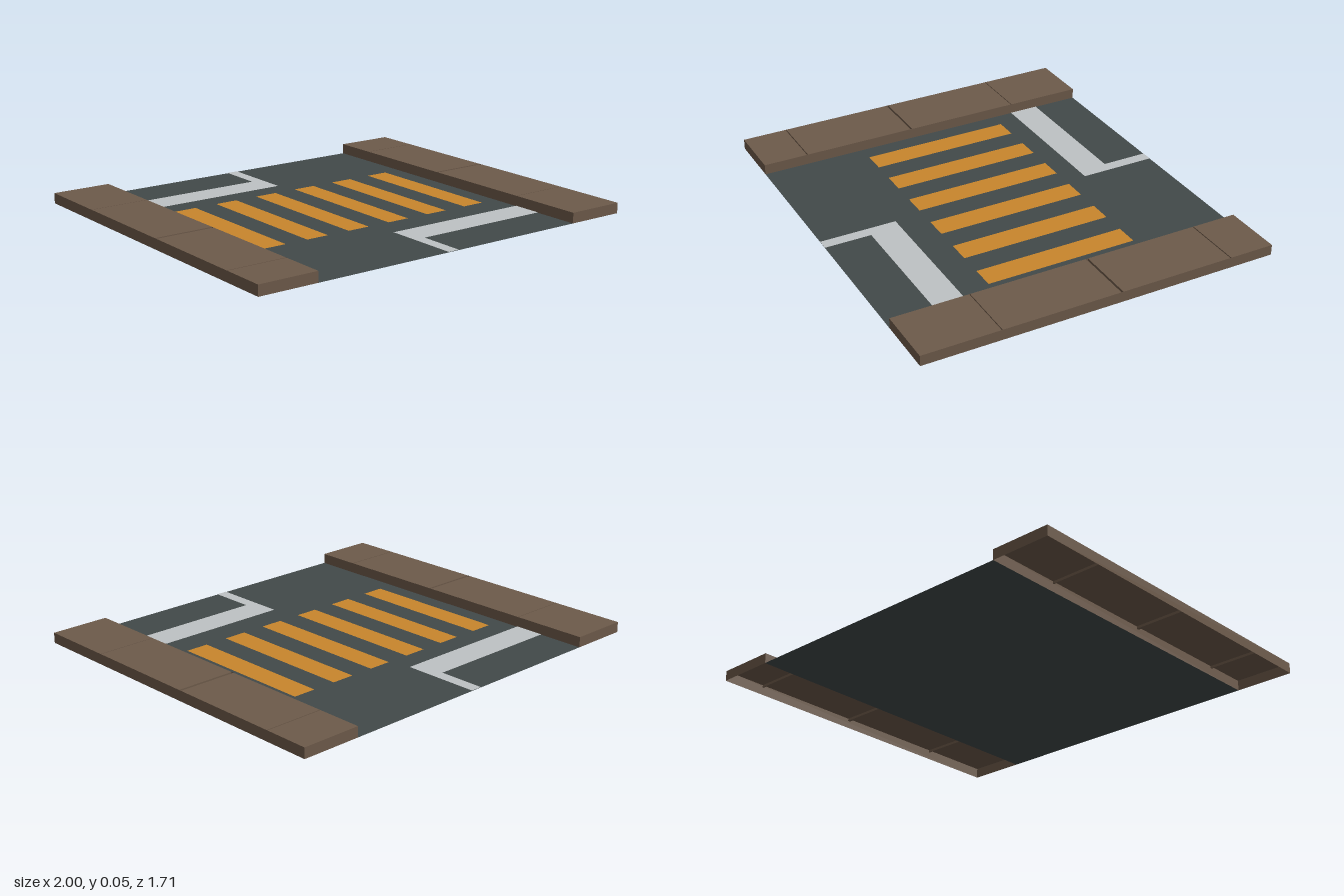
import * as THREE from 'three';

const HALF_Z = 0.857, CURB_X = 0.712, CURB_H = 0.05, GROOVE = 0.012;

function material(name, color, side = THREE.FrontSide) {
  const m = new THREE.MeshStandardMaterial({ color, side });
  m.name = name;
  return m;
}

// Horizontal rectangle facing up, given by its x and z limits
function flatPanel(name, x0, x1, z0, z1, y, mat) {
  const geo = new THREE.PlaneGeometry(x1 - x0, z1 - z0).rotateX(-Math.PI / 2);
  geo.translate((x0 + x1) / 2, y, (z0 + z1) / 2);
  const mesh = new THREE.Mesh(geo, mat);
  mesh.name = name;
  return mesh;
}

// Sweep an open [z, y] profile along x as flat facets
function profileStrip(profile, x0, x1) {
  const pos = [];
  for (let i = 0; i < profile.length - 1; i++) {
    const [za, ya] = profile[i], [zb, yb] = profile[i + 1];
    pos.push(x0, ya, za, x0, yb, zb, x1, yb, zb, x0, ya, za, x1, yb, zb, x1, ya, za);
  }
  const geo = new THREE.BufferGeometry();
  geo.setAttribute('position', new THREE.Float32BufferAttribute(pos, 3));
  geo.computeVertexNormals();
  return geo;
}

// Hollow raised sidewalk on the +x side, open underneath, with paving joints
function sidewalk(name, mat) {
  const group = new THREE.Group();
  group.name = name;
  const profile = [[-HALF_Z, 0], [-HALF_Z, CURB_H]];
  for (const [z, width] of [[-0.637, 0.005], [-0.082, 0.013], [0.488, 0.004]]) {
    const a = z - width / 2, b = z + width / 2;
    profile.push([a, CURB_H], [a, CURB_H - GROOVE], [b, CURB_H - GROOVE], [b, CURB_H]);
  }
  profile.push([HALF_Z, CURB_H], [HALF_Z, 0]);
  const paving = new THREE.Mesh(profileStrip(profile, CURB_X, 1), mat);
  paving.name = 'paving';
  group.add(paving);
  for (const [part, x, turn] of [['curbFace', CURB_X, -1], ['outerFace', 1, 1]]) {
    const geo = new THREE.PlaneGeometry(HALF_Z * 2, CURB_H).rotateY(turn * Math.PI / 2);
    const wall = new THREE.Mesh(geo.translate(x, CURB_H / 2, 0), mat);
    wall.name = part;
    group.add(wall);
  }
  return group;
}

// Stop line and half centre line for one traffic direction
function laneMarking(name, mat) {
  const group = new THREE.Group();
  group.name = name;
  group.add(
    flatPanel('stopLine', -0.028, CURB_X, 0.487, 0.633, 0.002, mat),
    flatPanel('centreLine', -0.028, 0.028, 0.633, HALF_Z, 0.002, mat)
  );
  return group;
}

export function createModel() {
  const asphalt = material('asphalt', 0x424949, THREE.DoubleSide);
  const pavement = material('pavement', 0x6d5a4a, THREE.DoubleSide);
  const whitePaint = material('white paint', 0xbec2c4);
  const orangePaint = material('orange paint', 0xc8862c);

  const model = new THREE.Group();
  model.name = 'roadCrossing';
  model.add(flatPanel('road', -CURB_X, CURB_X, -HALF_Z, HALF_Z, 0, asphalt));

  // Crossing stripes
  for (let i = 0; i < 6; i++) {
    const x = -0.627 + i * 0.227;
    model.add(flatPanel('crossingStripe', x, x + 0.113, -0.382, 0.35, 0.002, orangePaint));
  }

  // Both halves match under a half turn
  const rightWalk = sidewalk('rightSidewalk', pavement);
  const backMarking = laneMarking('backMarking', whitePaint);
  rightWalk.rotation.y = backMarking.rotation.y = Math.PI;
  model.add(sidewalk('leftSidewalk', pavement), rightWalk);
  model.add(laneMarking('frontMarking', whitePaint), backMarking);
  return model;
}
